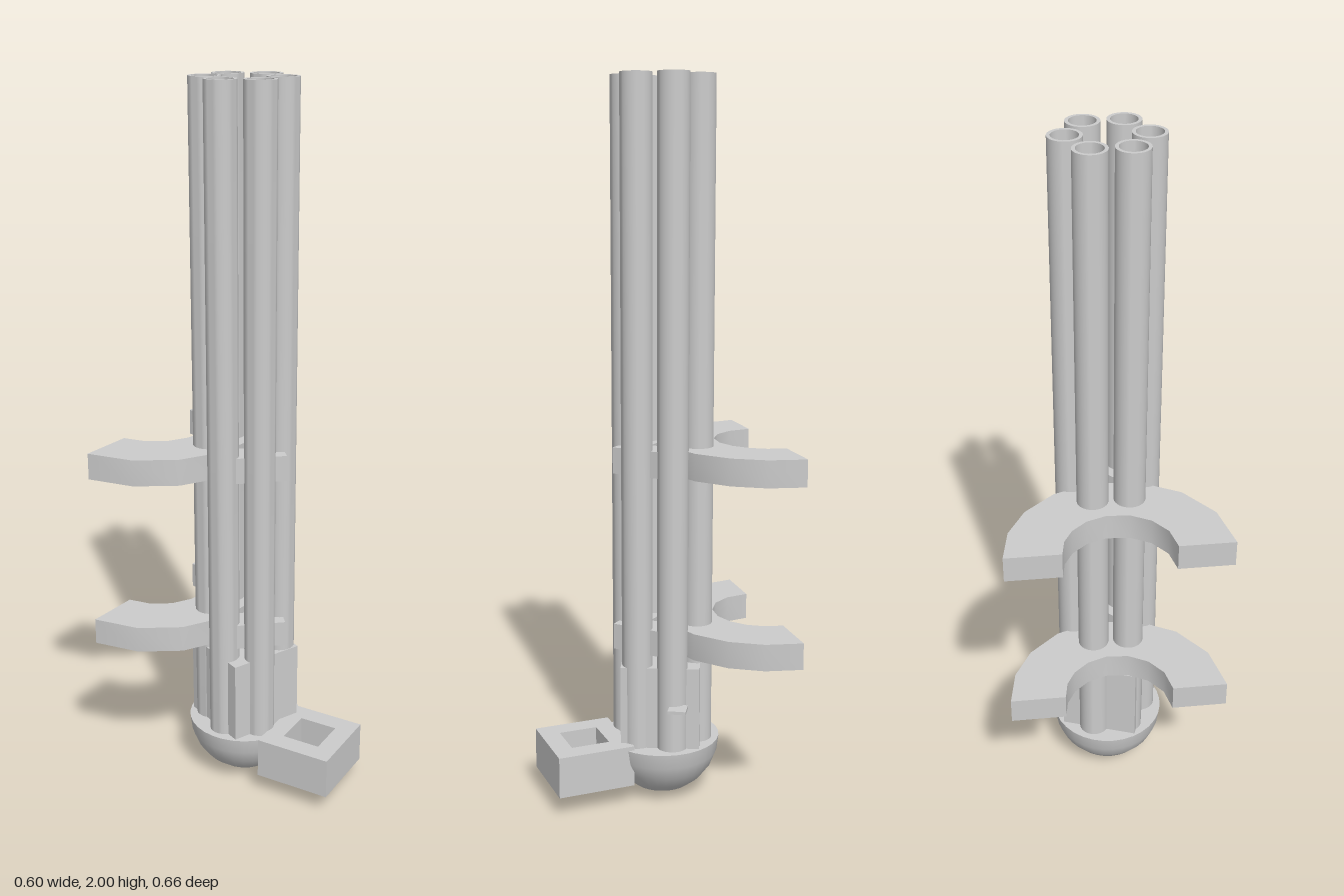
import * as THREE from 'three';
import { toCreasedNormals } from 'three/addons/utils/BufferGeometryUtils.js';

const material = new THREE.MeshStandardMaterial({ color: 0xcccccc });
const AXIS_Z = -0.022; // depth of the tube bundle's axis

export function createModel() {
  const model = new THREE.Group();

  const add = (name, geometry, x, y, z, turn = 0) => {
    const mesh = new THREE.Mesh(toCreasedNormals(geometry, 0.7), material);
    mesh.name = name;
    mesh.position.set(x, y, z);
    mesh.rotation.y = turn;
    model.add(mesh);
    return mesh;
  };

  // Horizontal plate standing on its local y = 0
  const plate = (shape, height) =>
    new THREE.ExtrudeGeometry(shape, { depth: height, bevelEnabled: false }).rotateX(-Math.PI / 2);

  const square = (side, Type = THREE.Shape) => {
    const h = side / 2;
    return new Type([[-h, -h], [h, -h], [h, h], [-h, h]].map(([x, y]) => new THREE.Vector2(x, y)));
  };

  const squareFrame = (outer, inner) => {
    const shape = square(outer);
    shape.holes.push(square(inner, THREE.Path));
    return shape;
  };

  // Six hollow tubes in a ring
  const bottom = 0.16;
  const tubeProfile = [[0.034, bottom], [0.043, bottom], [0.043, 2], [0.034, 2], [0.034, bottom]]
    .map(([r, y]) => new THREE.Vector2(r, y));
  for (let i = 0; i < 6; i++) {
    const a = (i * Math.PI) / 3;
    add('tube', new THREE.LatheGeometry(tubeProfile, 32),
      0.1 * Math.cos(a), 0, AXIS_Z + 0.1 * Math.sin(a));
  }

  // Rounded bowl with a flat top
  const bowlProfile = [];
  for (let i = 0; i <= 6; i++) {
    const a = (i / 6) * Math.PI / 2;
    bowlProfile.push(new THREE.Vector2(0.163 * Math.sin(a), 0.165 * (1 - Math.cos(a))));
  }
  bowlProfile.push(new THREE.Vector2(0, 0.165));
  add('bowl', new THREE.LatheGeometry(bowlProfile, 32), 0, 0, AXIS_Z);

  // Square base block around the tube feet
  add('baseBlock', new THREE.BoxGeometry(0.22, 0.26, 0.22), 0, 0.27, AXIS_Z, -0.34);

  // Thin side tab
  add('sideTab', new THREE.BoxGeometry(0.05, 0.009, 0.05), 0.154, 0.295, AXIS_Z, -0.44);

  // Front bracket with a square hole
  add('frontBracket', plate(squareFrame(0.22, 0.11), 0.117), 0, 0.06, 0.208, 0.1);

  // Half-ring arms opening to the back
  const angles = [0, 20, 39, 60, 82, 106, 130, 154, 180].map(THREE.MathUtils.degToRad);
  const arc = (r) => angles.map((a) => new THREE.Vector2(r * Math.cos(a), -r * Math.sin(a)));
  const armShape = new THREE.Shape([...arc(0.302), ...arc(0.15).reverse()]);

  // Each clamp: half ring plus a square spacer turned between the tubes
  for (const y of [0.433, 0.938]) {
    add('clampArms', plate(armShape, 0.075), 0, y, -0.33);
    add('clampSpacer', plate(squareFrame(0.2, 0.047), 0.073), 0, y + 0.001, AXIS_Z, Math.PI / 4);
  }

  return model;
}
